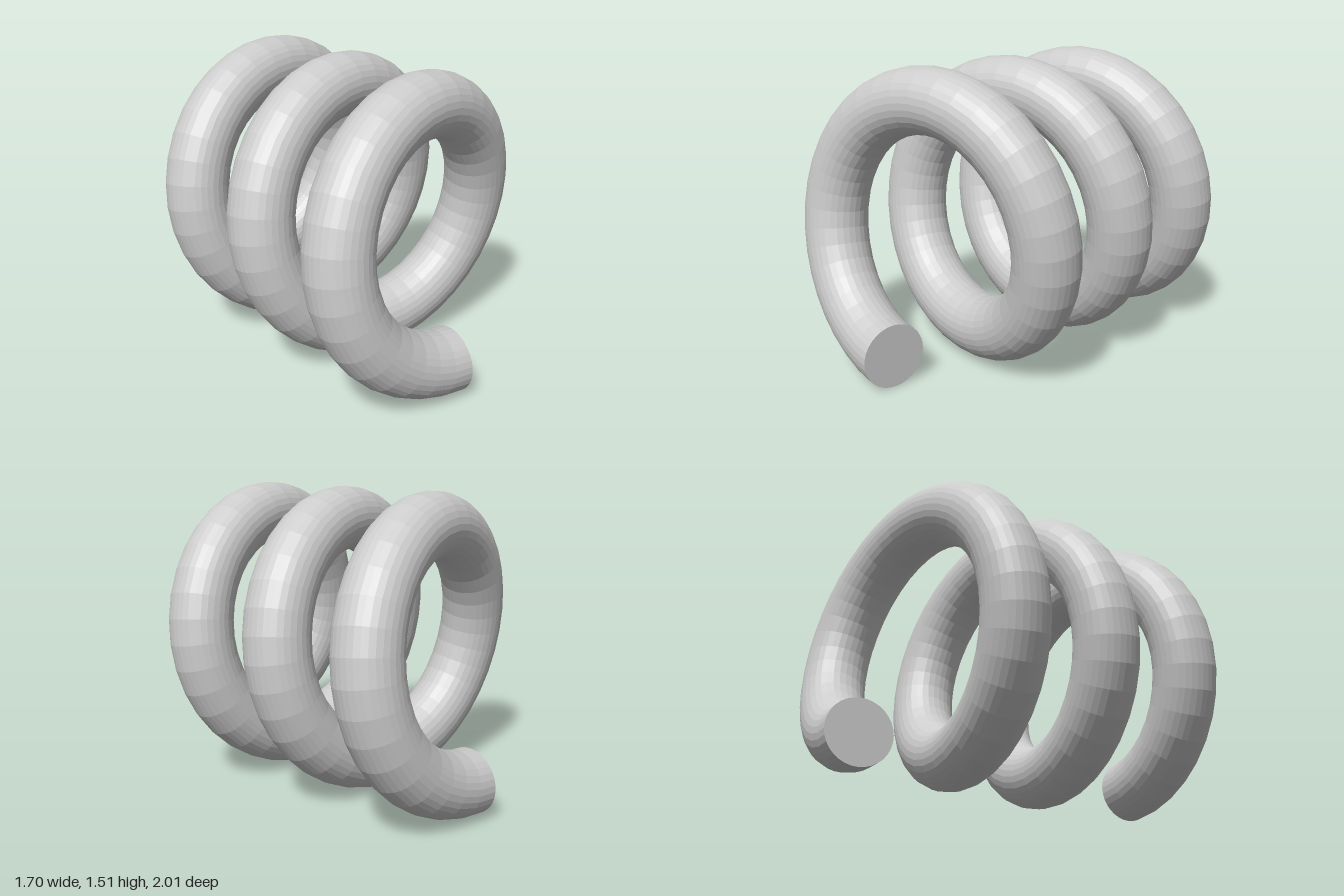
import * as THREE from 'three';

const TURNS = 3;
const COIL_RADIUS = 0.595;
const WIRE_RADIUS = 0.16;
const SIDES = 32;
const STEPS_PER_TURN = 36;

// Helix around a level axis that is turned slightly away from z
class CoilCurve extends THREE.Curve {
  getPoint(t, target = new THREE.Vector3()) {
    const axis = new THREE.Vector3(-0.5, 0, -1.54); // whole run, front to back
    const across = new THREE.Vector3(-axis.z, 0, axis.x).normalize();
    const angle = t * TURNS * Math.PI * 2;
    target.copy(axis).multiplyScalar(t - 0.5);
    target.addScaledVector(across, -COIL_RADIUS * Math.sin(angle));
    target.y = COIL_RADIUS + WIRE_RADIUS - COIL_RADIUS * Math.cos(angle);
    return target;
  }
}

export function createModel() {
  const group = new THREE.Group();
  group.name = 'coilSpring';
  const material = new THREE.MeshStandardMaterial({ color: 0xcccccc, flatShading: true });

  // Round wire
  const curve = new CoilCurve();
  const steps = TURNS * STEPS_PER_TURN;
  const tube = new THREE.TubeGeometry(curve, steps, WIRE_RADIUS, SIDES, false);
  const wire = new THREE.Mesh(tube, material);
  wire.name = 'coiledWire';
  group.add(wire);

  // Flat cut ends, lined up with the first and last rings
  const addCap = (name, index, sign) => {
    const basis = new THREE.Matrix4().makeBasis(
      tube.normals[index].clone(),
      tube.binormals[index].clone().multiplyScalar(sign),
      tube.tangents[index].clone().multiplyScalar(sign)
    );
    basis.setPosition(curve.getPointAt(index / steps));
    const cap = new THREE.Mesh(new THREE.CircleGeometry(WIRE_RADIUS, SIDES).applyMatrix4(basis), material);
    cap.name = name;
    group.add(cap);
  };
  addCap('frontEnd', 0, -1);
  addCap('backEnd', steps, 1);

  return group;
}
